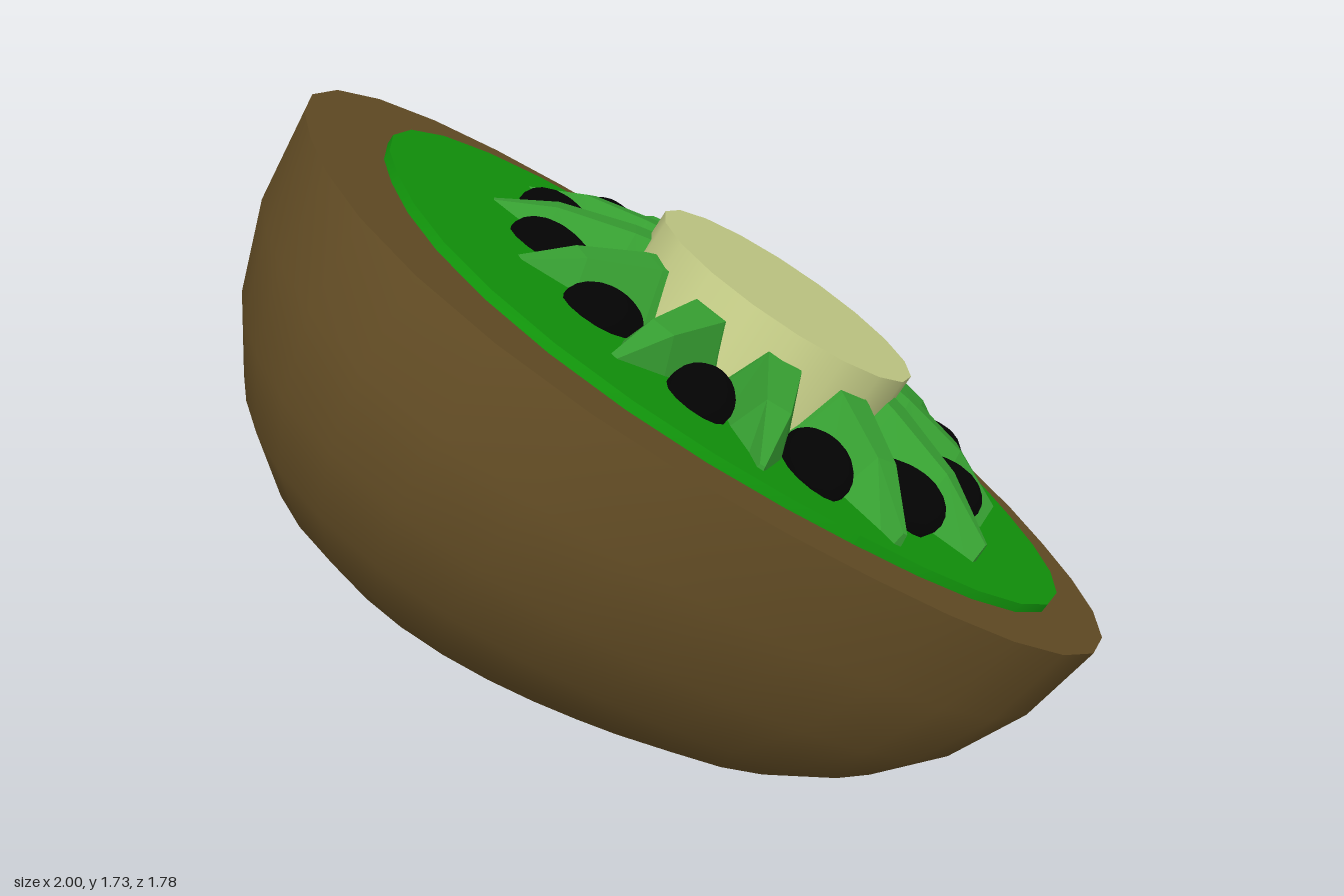
import * as THREE from 'three';
import { mergeVertices } from 'three/addons/utils/BufferGeometryUtils.js';

const mat = (color, extra = {}) => new THREE.MeshStandardMaterial({ color, ...extra });

function add(parent, name, geometry, material) {
  const mesh = new THREE.Mesh(geometry, material);
  mesh.name = name;
  parent.add(mesh);
  return mesh;
}

// Turns round sections into slightly squared ovals, then stretches them.
function squareOff(geometry, a, b, power = 2.35) {
  const p = geometry.attributes.position;
  for (let i = 0; i < p.count; i++) {
    const x = p.getX(i), z = p.getZ(i), r = Math.hypot(x, z);
    if (r < 1e-6) continue;
    const k = (Math.abs(x / r) ** power + Math.abs(z / r) ** power) ** (-1 / power);
    p.setXYZ(i, x * k * a, p.getY(i), z * k * b);
  }
  geometry.computeVertexNormals();
  return geometry;
}

// Bowl of the skin: full profile lengthwise, circular profile crosswise.
function bowlGeometry(depth) {
  const profile = [[0, -0.886], [0.2, -0.88], [0.385, -0.857], [0.545, -0.803], [0.709, -0.709],
    [0.832, -0.583], [0.92, -0.417], [0.98, -0.214], [1, 0]].map(([r, y]) => new THREE.Vector2(r, y));
  let g = new THREE.LatheGeometry(profile, 32);
  g.deleteAttribute('uv');
  g.deleteAttribute('normal');
  g = squareOff(mergeVertices(g), 1.128, 0.89);
  const p = g.attributes.position;
  for (let i = 0; i < p.count; i++) {
    const row = profile.find((q) => Math.abs(q.y - p.getY(i)) < 1e-4);
    if (row.x > 0) p.setZ(i, p.getZ(i) * Math.sqrt(1 - (row.y / depth) ** 2) / row.x);
  }
  g.computeVertexNormals();
  return g;
}

// Tapering ray lofted along +x from trapezoid sections [distance, half width, height].
function rayGeometry() {
  const sections = [[0.26, 0.12, 0.19], [0.38, 0.12, 0.17], [0.56, 0.085, 0.125], [0.72, 0.018, 0.045]];
  const points = [], index = [];
  for (const [x, w, h] of sections) {
    points.push(x, -0.02, w, x, h, w * 0.35, x, h, -w * 0.35, x, -0.02, -w);
  }
  for (let s = 0; s < sections.length - 1; s++) {
    for (let j = 0; j < 4; j++) {
      const a = s * 4 + j, b = s * 4 + (j + 1) % 4;
      index.push(a, a + 4, b, b, a + 4, b + 4);
    }
  }
  const e = (sections.length - 1) * 4;
  index.push(0, 1, 2, 0, 2, 3, e, e + 2, e + 1, e, e + 3, e + 2);
  const g = new THREE.BufferGeometry();
  g.setAttribute('position', new THREE.Float32BufferAttribute(points, 3));
  g.setIndex(index);
  g.computeVertexNormals();
  return g;
}

// Egg-shaped seed, narrower toward the core.
function seedGeometry() {
  const g = new THREE.SphereGeometry(1, 16, 12);
  const p = g.attributes.position;
  for (let i = 0; i < p.count; i++) {
    const x = p.getX(i), k = 1 + 0.22 * x;
    p.setXYZ(i, x * 0.118, p.getY(i) * 0.068 * k, p.getZ(i) * 0.074 * k);
  }
  g.computeVertexNormals();
  return g;
}

export function createModel() {
  const model = new THREE.Group();
  model.name = 'halvedFruit';

  // Everything is built on the cut plane, then leaned over.
  const fruit = new THREE.Group();
  fruit.name = 'fruit';
  fruit.position.set(0.1, 1.05, 0);
  fruit.rotation.z = -0.647;
  model.add(fruit);

  // Skin: rounded bowl and its flat rim
  const skin = mat(0x664f26);
  add(fruit, 'skin', bowlGeometry(0.8861), skin);
  add(fruit, 'cutRim', squareOff(new THREE.CircleGeometry(1, 32).rotateX(-Math.PI / 2), 1.128, 0.89), skin);

  // Flesh: thin slab on the cut face
  const slab = squareOff(new THREE.CylinderGeometry(1, 1, 0.04, 32), 0.953, 0.755);
  add(fruit, 'flesh', slab, mat(0x129a0c)).position.set(0.02, 0.003, 0);

  // Core, tipped slightly
  const coreGeometry = new THREE.CylinderGeometry(0.342, 0.342, 0.23, 18);
  const core = add(fruit, 'core', coreGeometry, mat(0xc9d18a));
  core.position.set(0.005, 0.118, 0.022);
  core.rotation.z = 0.045;

  // Ring of alternating rays and seeds
  const ring = new THREE.Group();
  ring.name = 'seedRing';
  ring.position.set(0.03, 0, -0.012);
  ring.rotation.z = 0.055;
  fruit.add(ring);

  const ray = rayGeometry(), seed = seedGeometry();
  const rayMaterial = mat(0x37a032, { flatShading: true }), seedMaterial = mat(0x030303);
  const count = 12;
  for (let i = 0; i < count; i++) {
    const step = (i / count) * Math.PI * 2;
    add(ring, 'ray', ray, rayMaterial).rotation.y = -(step + 0.34);
    const angle = step + 0.08;
    const s = add(ring, 'seed', seed, seedMaterial);
    s.position.set(Math.cos(angle) * 0.54, 0.05, Math.sin(angle) * 0.54);
    s.rotation.y = -angle;
  }
  return model;
}
